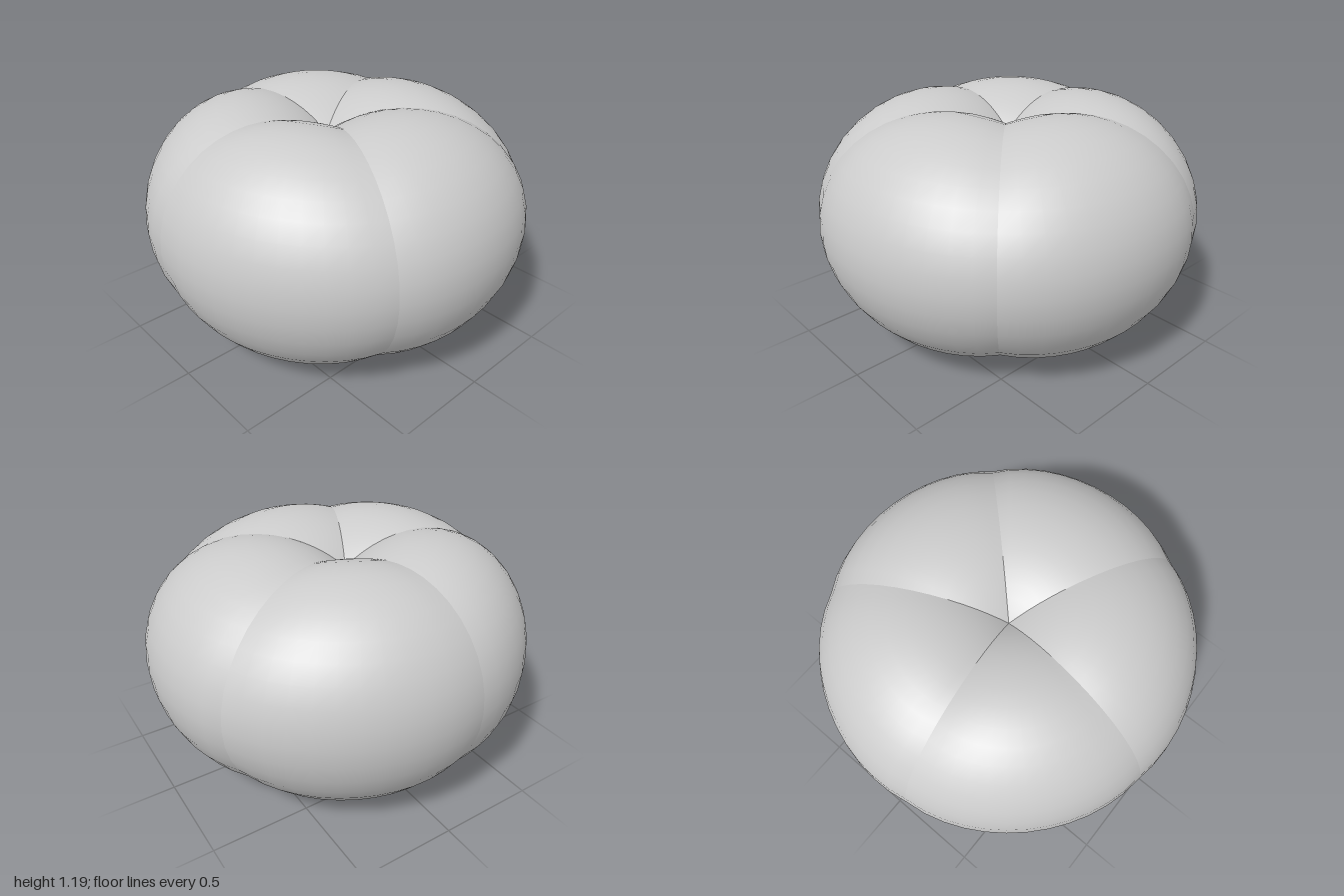
import * as THREE from 'three';

const LOBES = 5;
const FIRST = THREE.MathUtils.degToRad(9); // direction of the first lobe
const d = 0.414, a = 0.586, w = 0.77, b = 0.594; // lobe ellipsoid: offset, radial, sideways and upright radii

// Distance from the core of the fruit to the lobe's skin, t across the lobe and phi up
function skinDistance(t, phi) {
  const c = Math.cos(phi), s = Math.sin(phi);
  const A = c * c * ((Math.cos(t) / a) ** 2 + (Math.sin(t) / w) ** 2) + (s / b) ** 2;
  const B = -2 * d * c * Math.cos(t) / (a * a);
  const C = (d / a) ** 2 - 1;
  return (-B + Math.sqrt(B * B - 4 * A * C)) / (2 * A);
}

// One wedge of skin; wedges meet at sharp creases and at a dimple above and below
function lobeGeometry(dir) {
  const geo = new THREE.PlaneGeometry(1, 1, 12, 32);
  const p = geo.attributes.position;
  for (let i = 0; i < p.count; i++) {
    const t = p.getX(i) * 2 * Math.PI / LOBES;
    const phi = p.getY(i) * Math.PI;
    const s = skinDistance(t, phi);
    const r = s * Math.cos(phi);
    const shift = 0.035 * (1 - r * r); // dimples sit slightly off centre
    const angle = dir + t;
    p.setXYZ(i,
      r * Math.cos(angle) - shift,
      0.592 + s * Math.sin(phi) + 0.03 * r * r,
      -r * Math.sin(angle) + shift);
  }
  geo.computeVertexNormals();
  return geo;
}

export function createModel() {
  const group = new THREE.Group();
  group.name = 'lobedFruit';
  const material = new THREE.MeshStandardMaterial({ color: 0xcccccc });
  for (let i = 0; i < LOBES; i++) {
    const lobe = new THREE.Mesh(lobeGeometry(FIRST + i * 2 * Math.PI / LOBES), material);
    lobe.name = 'lobe' + (i + 1);
    group.add(lobe);
  }
  return group;
}
